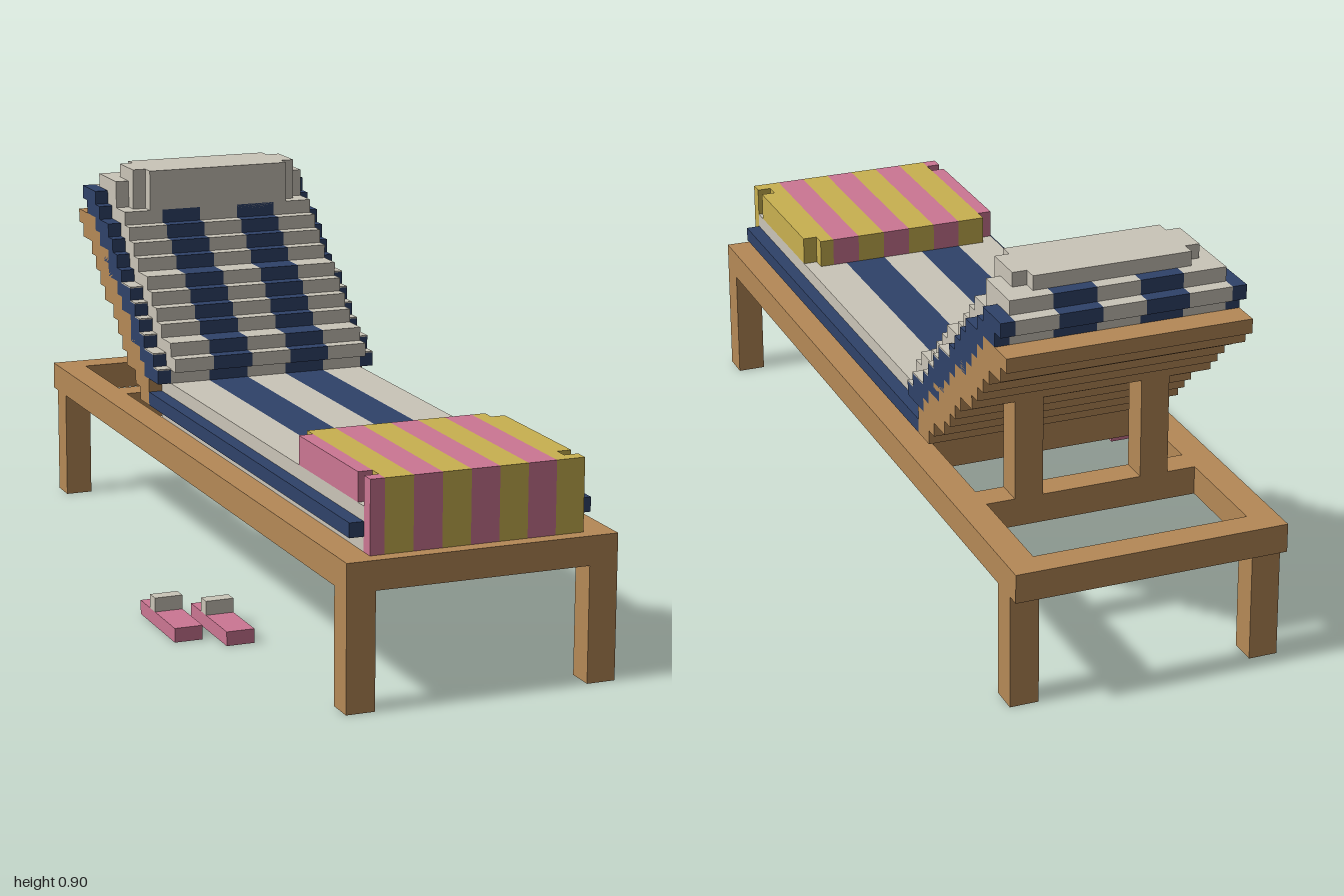
import * as THREE from 'three';

const U = 1 / 30; // one block unit

const mat = (name, color) => {
  const m = new THREE.MeshStandardMaterial({ color });
  m.name = name;
  return m;
};

export function createModel() {
  const wood = mat('wood', 0xb58957);
  const cream = mat('cream', 0xcac5b8);
  const navy = mat('navy', 0x2f4269);
  const pink = mat('pink', 0xcc7693);
  const yellow = mat('yellow', 0xc9b150);

  const model = new THREE.Group();
  model.name = 'sunLounger';
  const part = (name) => {
    const g = new THREE.Group();
    g.name = name;
    model.add(g);
    return g;
  };
  // Box given by its limits in block units
  const box = (parent, name, material, [x0, x1], [y0, y1], [z0, z1]) => {
    const geo = new THREE.BoxGeometry((x1 - x0) * U, (y1 - y0) * U, (z1 - z0) * U);
    const mesh = new THREE.Mesh(geo, material);
    mesh.name = name;
    mesh.position.set((x0 + x1) / 2 * U, (y0 + y1) / 2 * U, (z0 + z1) / 2 * U);
    parent.add(mesh);
  };
  // Cream and navy cloth, striped across its width
  const stripes = [-5, -2, 1, 4, 7, 10];
  const striped = (parent, name, y, z) => {
    for (let i = 0; i < 5; i++) {
      box(parent, name, i % 2 ? navy : cream, [stripes[i], stripes[i + 1]], y, z);
    }
  };
  const sides = [[-6, -5], [10, 11]];

  // Wooden frame: deck, rails, legs and the props of the backrest
  const frame = part('frame');
  box(frame, 'deck', wood, [-7, 12], [8, 10], [-10, 30]);
  box(frame, 'backRail', wood, [-7, 12], [8, 10], [-30, -28]);
  box(frame, 'crossbar', wood, [-5, 10], [8, 10], [-20, -18]);
  for (const x of [[-7, -5], [10, 12]]) {
    box(frame, 'sideRail', wood, x, [8, 10], [-28, -10]);
    box(frame, 'frontLeg', wood, x, [0, 8], [28, 30]);
    box(frame, 'backLeg', wood, x, [0, 8], [-29, -27]);
  }
  for (const x of [[-3, -1], [6, 8]]) box(frame, 'backrestProp', wood, x, [10, 17], [-20, -18]);

  // Seat cushion with navy piping
  const seat = part('seatCushion');
  striped(seat, 'seatStripe', [10, 13], [-10, 28]);
  for (const x of sides) box(seat, 'seatPiping', navy, x, [11, 12], [-10, 28]);

  // Sloping backrest, built as a staircase of rows
  const back = part('backrest');
  for (let k = 0; k < 12; k++) {
    const s = Math.round(k * 1.27);
    box(back, 'backBoard', wood, [-6, 11], [11 + k, 12 + k], [-12 - s, Math.min(-10, -8 - s)  + (k > 1 ? Math.max(0, 2 - s) : 0)]);
    if (s > 2) box(back, 'backBoardCore', wood, [-6, 11], [11 + k, 12 + k], [-12 - s, -8 - s]);
    striped(back, 'backLining', [13 + k, 14 + k], [-11 - s, -8 - s]);
    striped(back, 'backPadding', [14 + k, 15 + k], [-10 - s, -7 - s]);
    for (const x of sides) {
      box(back, 'backPiping', navy, x, [13 + k, 14 + k], [-11 - s, -8 - s]);
      // Cream edging on the lower steps
      if (k < 6) {
        const next = Math.round((k + 1) * 1.27);
        box(back, 'stepEdging', cream, x, [14 + k, 14.1 + k], [-8 - next, -8 - s]);
      }
    }
  }

  // Head pillow with stepped corners
  const pillow = part('pillow');
  box(pillow, 'pillowCore', cream, [-3, 8], [23, 27], [-23, -18]);
  for (const x of [[-4, -3], [8, 9]]) box(pillow, 'pillowEnd', cream, x, [24, 27], [-22, -19]);
  for (const x of [[-5, -4], [9, 10]]) box(pillow, 'pillowTip', cream, x, [24, 26], [-22, -20]);

  // Striped towel folded over the foot end
  const towel = part('towel');
  const bands = [-5, -4, -2, 0, 2, 4, 6, 8, 10];
  for (let i = 0; i < 8; i++) {
    const color = i % 2 ? yellow : pink;
    const x = [bands[i], bands[i + 1]];
    box(towel, 'towelFront', color, x, [10, 15], [28, 29]);
    if (i === 0) {
      box(towel, 'towelEdge', color, x, [13, 15], [17, 27]);
    } else if (i === 7) {
      box(towel, 'towelTop', color, [8, 9], [13, 15], [16, 28]);
      box(towel, 'towelEdge', color, [9, 10], [13, 15], [17, 27]);
    } else {
      box(towel, 'towelTop', color, x, [13, 15], [16, 28]);
    }
  }

  // Pair of sandals on the ground
  const sandals = part('sandals');
  for (const [x, z] of [[-12, 5], [-9, 7]]) {
    box(sandals, 'sole', pink, [x, x + 2], [0, 1], [z, z + 7]);
    box(sandals, 'strap', cream, [x, x + 2], [1, 2], [z + 2, z + 3]);
  }
  return model;
}
